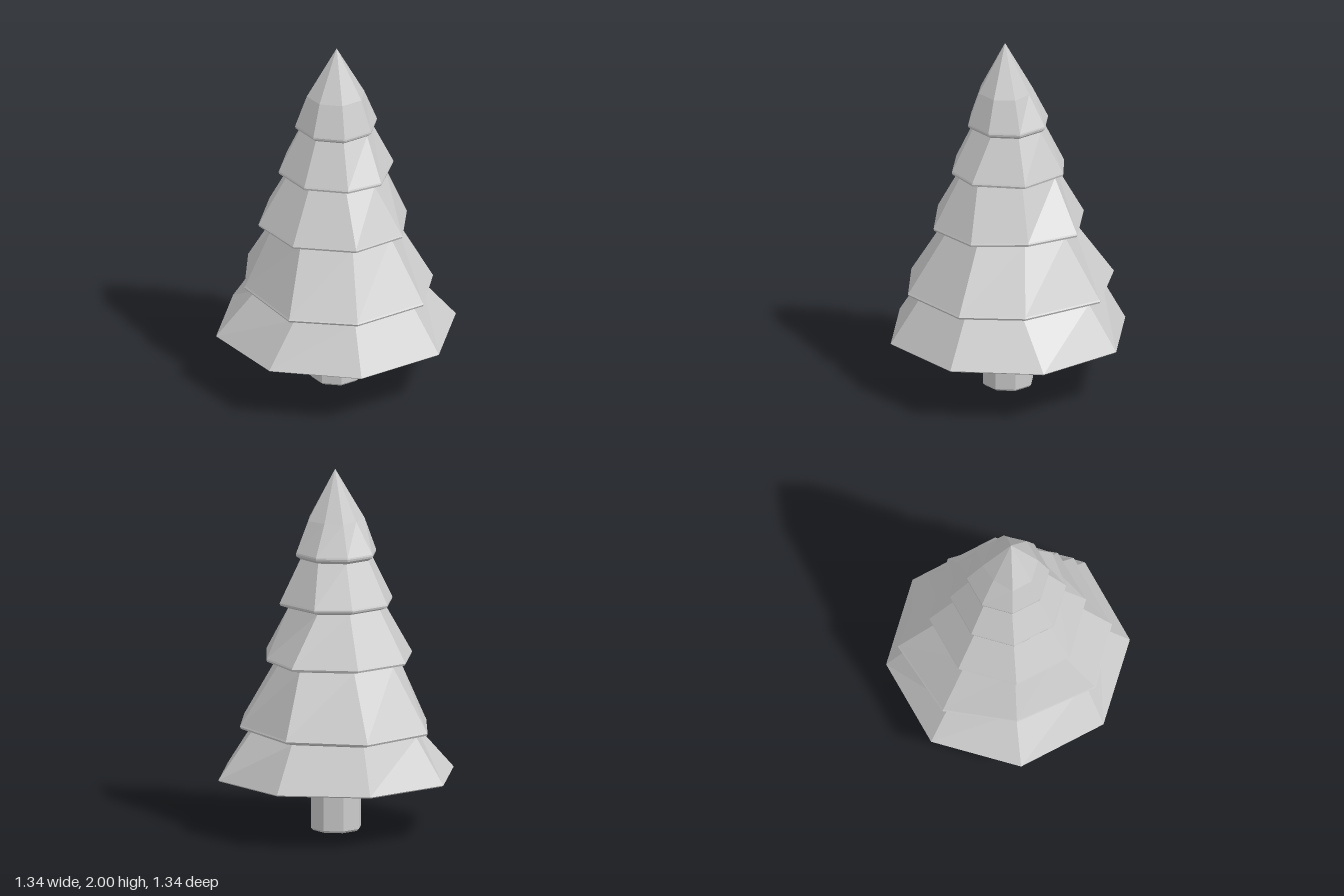
import * as THREE from 'three';

const SIDES = 8;

// One octagonal ring, corner 0 at +x, then counter-clockwise seen from above.
// "moved" replaces the unit-ring position of single corners to give an uneven, hand-cut look.
function ring(y, radius, moved = {}) {
  return Array.from({ length: SIDES }, (_, i) => {
    const a = (i / SIDES) * Math.PI * 2;
    const [x, z] = moved[i] || [Math.cos(a), -Math.sin(a)];
    return new THREE.Vector3(x * radius, y, z * radius);
  });
}

// Skin a stack of rings from bottom to top, closing both ends with a fan.
function skin(rings, bottom, top) {
  const pos = [];
  const tri = (...points) => points.forEach((p) => pos.push(p.x, p.y, p.z));
  const last = rings[rings.length - 1];
  for (let i = 0; i < SIDES; i++) {
    const j = (i + 1) % SIDES;
    tri(bottom, rings[0][j], rings[0][i]);
    for (let k = 0; k + 1 < rings.length; k++) {
      const low = rings[k], up = rings[k + 1];
      tri(low[i], low[j], up[j]);
      tri(low[i], up[j], up[i]);
    }
    tri(last[i], last[j], top);
  }
  const geometry = new THREE.BufferGeometry();
  geometry.setAttribute('position', new THREE.Float32BufferAttribute(pos, 3));
  geometry.computeVertexNormals();
  return geometry;
}

export function createModel() {
  const group = new THREE.Group();
  group.name = 'pineTree';
  const material = new THREE.MeshStandardMaterial({ color: 0xcccccc, flatShading: true });
  const add = (name, geometry) => {
    const mesh = new THREE.Mesh(geometry, material);
    mesh.name = name;
    group.add(mesh);
  };

  // Trunk with a slightly bevelled foot
  add('trunk', skin(
    [ring(0, 0.13), ring(0.012, 0.142), ring(0.32, 0.142)],
    new THREE.Vector3(0, 0, 0), new THREE.Vector3(0, 0.32, 0)));

  // Overhanging tiers: neck under the lip, lip radius and height, displaced corners
  const tiers = [
    { y: 0.585, lip: 0.57, neck: 0.5, moved: {
      1: [0.73, -0.58], 3: [-0.755, -0.745], 5: [-0.64, 0.625], 6: [0.105, 0.99] } },
    { y: 0.962, lip: 0.432, neck: 0.355, moved: {
      1: [0.65, -0.64], 2: [0.07, -1.03], 7: [0.74, 0.67] } },
    { y: 1.272, lip: 0.32, neck: 0.272, moved: { 0: [1.02, 0.15], 2: [-0.125, -1] } },
    { y: 1.54, lip: 0.228, neck: 0.202, moved: {} },
  ];
  const rings = [ring(0.3, 0.66), ring(0.307, 0.668)];
  for (const { y, lip, neck, moved } of tiers) {
    rings.push(
      ring(y - 0.028, neck, moved),
      ring(y - 0.011, lip * 0.99, moved),
      ring(y, lip, moved),
      ring(y + 0.008, lip * 0.99, moved));
  }
  // Uneven shoulder below the pointed crown
  rings.push(ring(1.72, 0.165, {
    1: [0.7, -0.64], 2: [0, -0.79], 3: [-0.6, -0.6], 4: [-0.76, 0], 5: [-0.67, 0.74] }));
  add('foliage', skin(rings, new THREE.Vector3(0, 0.3, 0), new THREE.Vector3(0.012, 2, 0.012)));

  return group;
}
